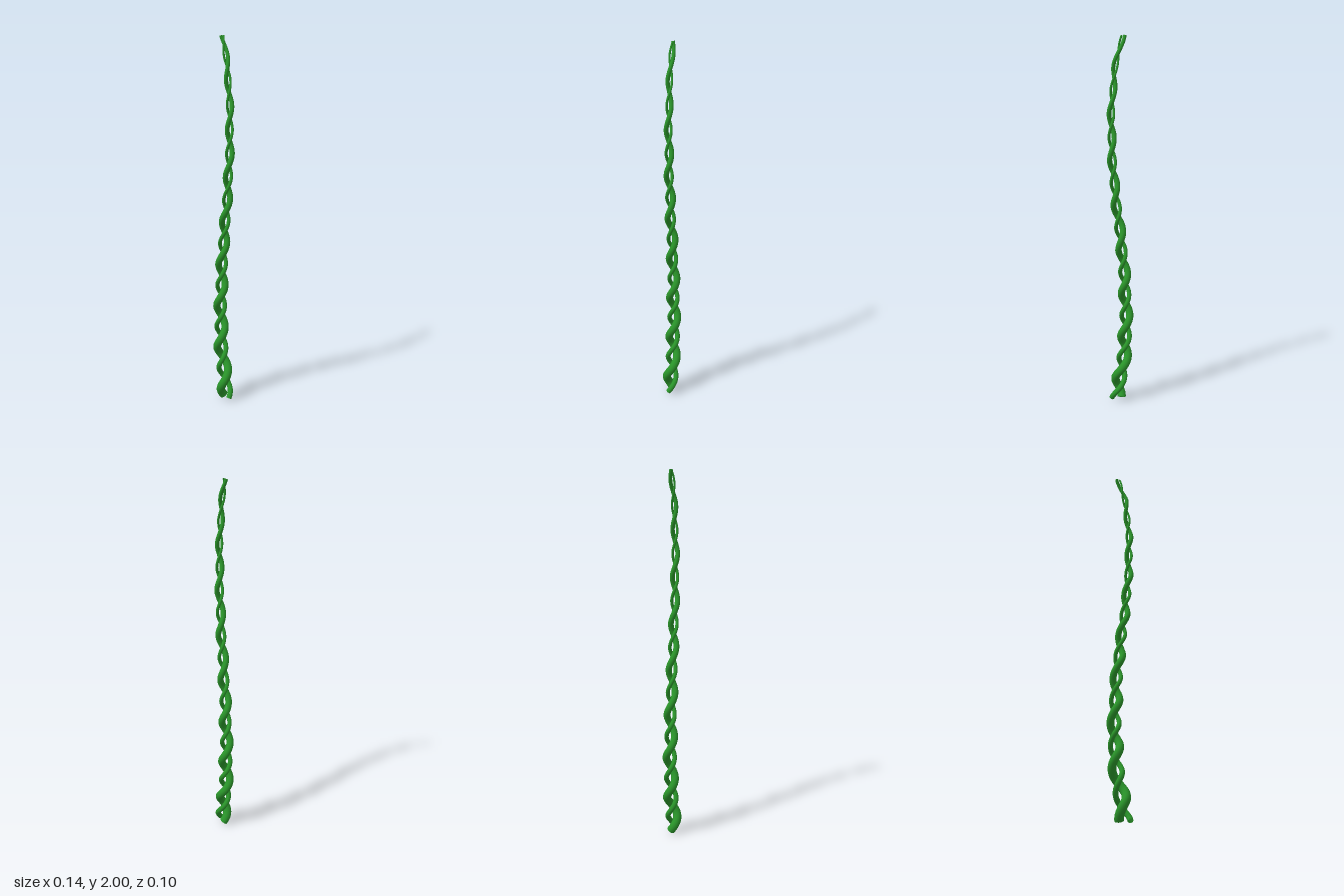
import * as THREE from 'three';

// Gently swaying centre line that the strands wind around: [x, y]
const axis = new THREE.SplineCurve([
  [0.02, 0], [0.0, 0.13], [-0.024, 0.3], [-0.03, 0.5], [-0.024, 0.68], [-0.008, 0.88],
  [0.016, 1.08], [0.037, 1.28], [0.046, 1.45], [0.047, 1.62], [0.037, 1.75],
  [0.022, 1.87], [-0.015, 2.0],
].map(([x, y]) => new THREE.Vector2(x, y)));

const Y0 = 0.013, Y1 = 1.995, PITCH = 0.246;

// Helix around the centre line, narrowing towards the tip
class Strand extends THREE.Curve {
  constructor(phase) {
    super();
    this.phase = phase;
  }
  getPoint(t, target = new THREE.Vector3()) {
    const p = axis.getPoint(t);
    const y = THREE.MathUtils.lerp(Y0, Y1, p.y / 2);
    const a = (2 * Math.PI * (y - 0.018)) / PITCH + this.phase;
    const r = THREE.MathUtils.lerp(0.027, 0.009, y / 2);
    return target.set(p.x - r * Math.cos(a), y, r * Math.sin(a));
  }
}

// Tube whose radius shrinks from r0 to r1, closed at both ends
function taperedTube(curve, r0, r1, segments = 400, sides = 14) {
  const geo = new THREE.TubeGeometry(curve, segments, 1, sides, false);
  const pos = geo.attributes.position;
  const v = new THREE.Vector3(), c = new THREE.Vector3();
  for (let i = 0; i <= segments; i++) {
    curve.getPointAt(i / segments, c);
    const r = THREE.MathUtils.lerp(r0, r1, c.y / 2);
    for (let j = 0; j <= sides; j++) {
      const k = i * (sides + 1) + j;
      v.fromBufferAttribute(pos, k).sub(c).multiplyScalar(r).add(c);
      pos.setXYZ(k, v.x, v.y, v.z);
    }
  }
  // End caps as fans over the first and last rings
  const index = Array.from(geo.index.array);
  const last = segments * (sides + 1);
  for (let j = 1; j < sides - 1; j++) {
    index.push(0, j, j + 1, last, last + j + 1, last + j);
  }
  geo.setIndex(index);
  return geo;
}

export function createModel() {
  const green = new THREE.MeshStandardMaterial({ color: 0x2a952a, side: THREE.DoubleSide });
  green.name = 'vineGreen';

  const vine = new THREE.Group();
  vine.name = 'vine';

  // Thick stem and a thinner one wound opposite it
  const strands = [
    ['thickStem', 0, 0.024, 0.009],
    ['thinStem', Math.PI, 0.015, 0.005],
  ];
  for (const [name, phase, r0, r1] of strands) {
    const mesh = new THREE.Mesh(taperedTube(new Strand(phase), r0, r1), green);
    mesh.name = name;
    vine.add(mesh);
  }
  return vine;
}
